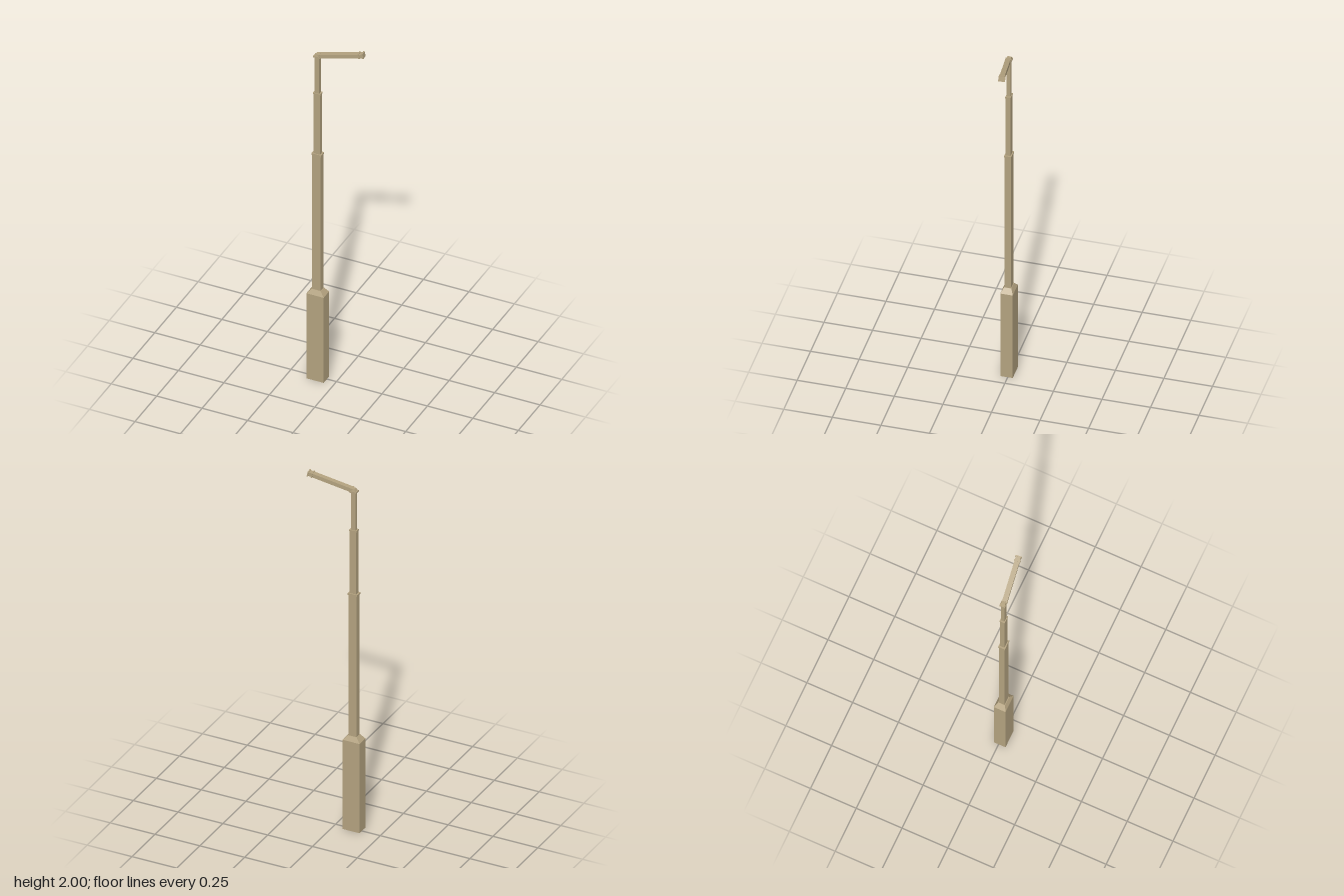
import * as THREE from 'three';

export function createModel() {
  const group = new THREE.Group();
  const paint = new THREE.MeshStandardMaterial({ color: 0xb3a27f });
  paint.name = 'tan paint';

  const add = (parent, name, geometry) => {
    const mesh = new THREE.Mesh(geometry, paint);
    mesh.name = name;
    parent.add(mesh);
    return mesh;
  };

  // Rectangular block from y0 to y1, tapering to its top width and depth
  const block = (name, y0, y1, w, d, topW = w, topD = d) => {
    const geo = new THREE.BoxGeometry(w, y1 - y0, d);
    const p = geo.attributes.position;
    for (let i = 0; i < p.count; i++) {
      if (p.getY(i) > 0) {
        p.setX(i, (p.getX(i) * topW) / w);
        p.setZ(i, (p.getZ(i) * topD) / d);
      }
    }
    const flat = geo.toNonIndexed();
    flat.computeVertexNormals();
    add(group, name, flat).position.set(-0.1, (y0 + y1) / 2, 0.006);
  };

  // Base with a sloped shoulder
  block('base', 0, 0.51, 0.095, 0.064);
  block('baseShoulder', 0.51, 0.535, 0.095, 0.064, 0.05, 0.038);

  // Telescoping mast, each section ending in a thin lip
  block('lowerMast', 0.53, 1.34, 0.046, 0.032);
  block('lowerMastLip', 1.338, 1.348, 0.053, 0.037);
  block('middleMast', 1.34, 1.705, 0.036, 0.025);
  block('middleMastLip', 1.702, 1.71, 0.041, 0.028);
  block('upperMast', 1.7, 1.93, 0.025, 0.02);

  // Elbow where the arm leaves the mast
  block('elbowPlate', 1.923, 1.932, 0.038, 0.03);
  block('elbowCap', 1.93, 1.945, 0.032, 0.026, 0.014, 0.02);

  // Lamp arm, rising and turned slightly backwards
  const start = new THREE.Vector3(-0.102, 1.932, 0.009);
  const end = new THREE.Vector3(0.141, 1.986, -0.022);
  const span = end.clone().sub(start);
  const length = span.length();
  const arm = new THREE.Group();
  arm.name = 'arm';
  arm.position.copy(start);
  arm.rotation.order = 'YZX';
  arm.rotation.y = Math.atan2(-span.z, span.x);
  arm.rotation.z = Math.asin(span.y / length);
  group.add(arm);

  const armPart = (name, from, to, h, w) => {
    add(arm, name, new THREE.BoxGeometry(to - from, h, w)).position.x = (from + to) / 2;
  };
  armPart('armBeam', 0.008, length - 0.002, 0.021, 0.026);
  armPart('armRootBand', 0.012, 0.018, 0.023, 0.028);
  armPart('armInnerBand', length - 0.028, length - 0.021, 0.026, 0.032);
  armPart('armEndBand', length - 0.007, length, 0.027, 0.033);

  return group;
}
